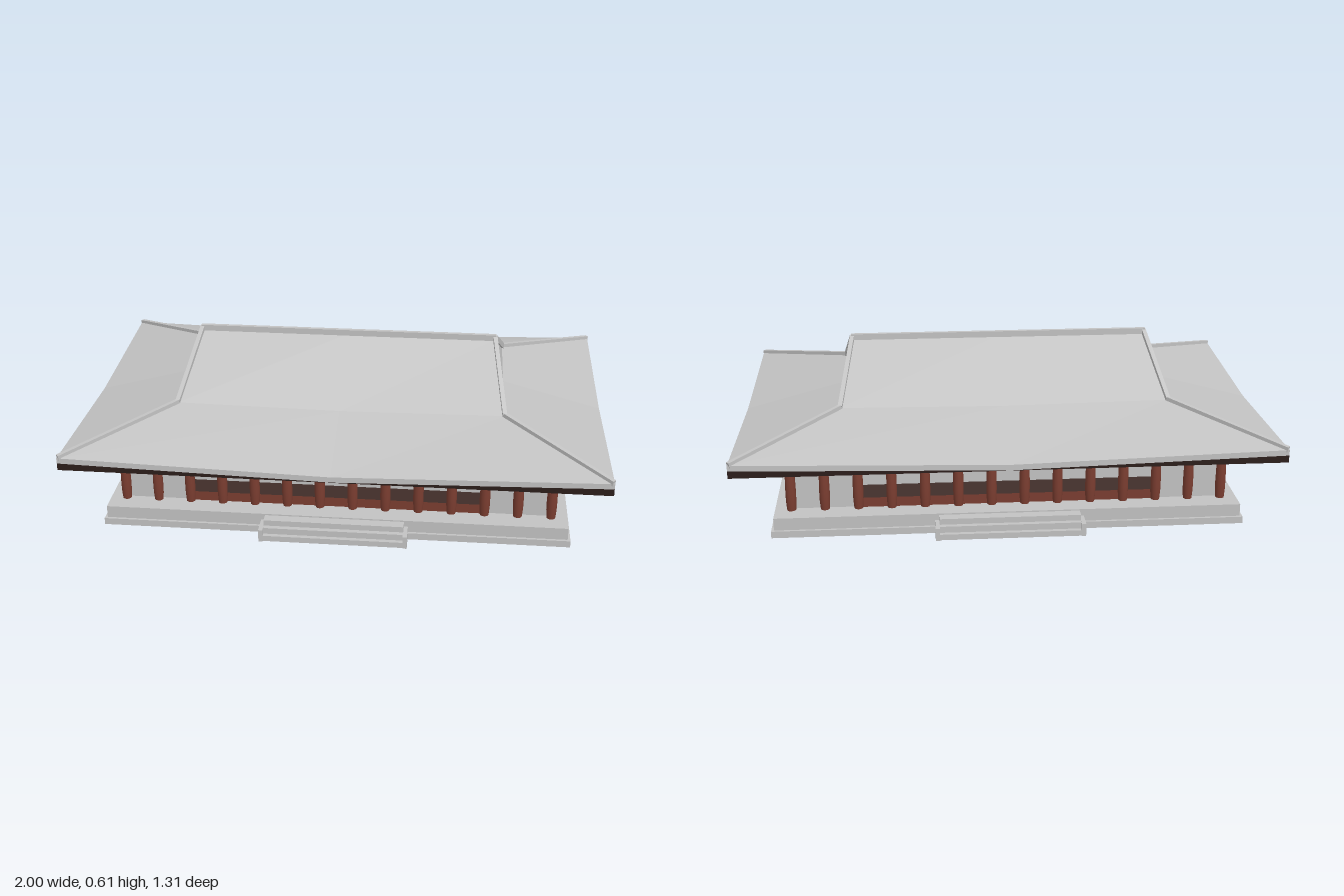
import * as THREE from 'three';

const stone = new THREE.MeshStandardMaterial({ color: 0xc2c2c2 });
stone.name = 'pale grey stone';
const redWood = new THREE.MeshStandardMaterial({ color: 0x7a3d30 });
redWood.name = 'red brown wood';
const darkWood = new THREE.MeshStandardMaterial({ color: 0x4a3530 });
darkWood.name = 'dark brown wood';
const eaveDark = new THREE.MeshStandardMaterial({ color: 0x2b1d1a });
eaveDark.name = 'dark eaves';

function add(parent, name, geometry, material) {
  const mesh = new THREE.Mesh(geometry, material);
  mesh.name = name;
  parent.add(mesh);
  return mesh;
}

// Box given by its lower and upper limits
function block(parent, name, material, [x0, x1], [y0, y1], [z0, z1]) {
  const mesh = add(parent, name, new THREE.BoxGeometry(x1 - x0, y1 - y0, z1 - z0), material);
  mesh.position.set((x0 + x1) / 2, (y0 + y1) / 2, (z0 + z1) / 2);
  return mesh;
}

// Rectangular ring of eight points: corners at one height, edge middles at another
function ring(x, z, yCorner, yMid) {
  return [[-x, z], [0, z], [x, z], [x, 0], [x, -z], [0, -z], [-x, -z], [-x, 0]]
    .map(([px, pz], i) => new THREE.Vector3(px, i % 2 ? yMid : yCorner, pz));
}

// Flat-faced skin between successive rings
function loft(rings) {
  const points = [];
  const triangle = (a, b, c) => {
    if (new THREE.Triangle(a, b, c).getArea() > 1e-7) points.push(a, b, c);
  };
  for (let r = 0; r < rings.length - 1; r++) {
    const lower = rings[r], upper = rings[r + 1];
    for (let i = 0; i < 8; i++) {
      const j = (i + 1) % 8;
      triangle(lower[i], lower[j], upper[j]);
      triangle(lower[i], upper[j], upper[i]);
    }
  }
  const geometry = new THREE.BufferGeometry().setFromPoints(points);
  geometry.computeVertexNormals();
  return geometry;
}

// Square bar running between two points
function bar(parent, name, from, to, width, height) {
  const a = new THREE.Vector3(...from), b = new THREE.Vector3(...to);
  const mesh = add(parent, name, new THREE.BoxGeometry(width, height, a.distanceTo(b) + 0.006), stone);
  mesh.position.copy(a).add(b).multiplyScalar(0.5);
  mesh.lookAt(b);
}

function buildTerrace() {
  const group = new THREE.Group();
  group.name = 'terrace';
  block(group, 'lowerTier', stone, [-0.873, 0.873], [0, 0.026], [-0.546, 0.546]);
  block(group, 'upperTier', stone, [-0.863, 0.863], [0.026, 0.073], [-0.536, 0.536]);

  // Stairs on the front and back
  for (const turn of [0, Math.PI]) {
    const stairs = new THREE.Group();
    stairs.name = 'stairs';
    stairs.rotation.y = turn;
    [[0.022, 0.608], [0.046, 0.592], [0.068, 0.574]].forEach(([top, front]) =>
      block(stairs, 'step', stone, [-0.26, 0.26], [0, top], [0.53, front]));
    for (const s of [-1, 1]) {
      block(stairs, 'stairCheek', stone, [s * 0.267 - 0.008, s * 0.267 + 0.008], [0, 0.048], [0.53, 0.612]);
    }
    group.add(stairs);
  }
  return group;
}

function buildHall() {
  const group = new THREE.Group();
  group.name = 'hall';
  block(group, 'walls', stone, [-0.79, 0.79], [0.073, 0.265], [-0.45, 0.45]);

  // Timber panels across the middle bays, front and back
  for (const s of [-1, 1]) {
    const z = s * 0.452;
    const depth = [z - 0.004, z + 0.004];
    block(group, 'lowerPanel', redWood, [-0.555, 0.555], [0.073, 0.11], depth);
    block(group, 'middlePanel', darkWood, [-0.555, 0.555], [0.11, 0.162], depth);
    block(group, 'upperPanel', stone, [-0.555, 0.555], [0.162, 0.245], depth);
  }
  return group;
}

function buildColumns() {
  const group = new THREE.Group();
  group.name = 'colonnade';
  const profile = [[0.0165, 0.073], [0.019, 0.105], [0.0195, 0.14], [0.0185, 0.2], [0.015, 0.25], [0.0125, 0.272]]
    .map(([r, y]) => new THREE.Vector2(r, y));
  const shaft = new THREE.LatheGeometry(profile, 12);
  const capital = new THREE.CylinderGeometry(0.021, 0.018, 0.014, 12);

  const columnsX = 14, columnsZ = 6;
  for (let i = 0; i < columnsX; i++) {
    for (let k = 0; k < columnsZ; k++) {
      if (i % (columnsX - 1) && k % (columnsZ - 1)) continue;
      const column = new THREE.Group();
      column.name = 'column';
      add(column, 'shaft', shaft, redWood);
      add(column, 'capital', capital, redWood).position.y = 0.279;
      column.position.set(-0.802 + (1.604 * i) / (columnsX - 1), 0, -0.46 + (0.92 * k) / (columnsZ - 1));
      group.add(column);
    }
  }
  return group;
}

function buildRoof() {
  const group = new THREE.Group();
  group.name = 'roof';
  const eaveBottom = ring(0.997, 0.65, 0.312, 0.286);

  // Dark underside with wedges rising to the corners
  add(group, 'eaveUnderside', loft([ring(0, 0, 0.285, 0.285), ring(0.997, 0.65, 0.285, 0.285), eaveBottom]), eaveDark);

  // Fascia, lower slope, then upper slope closing on the ridge line
  const ridgeLine = ring(0.575, 0, 0.587, 0.587);
  add(group, 'roofSlopes', loft([
    eaveBottom,
    ring(0.997, 0.65, 0.333, 0.307),
    ring(0.615, 0.325, 0.418, 0.41),
    ridgeLine,
  ]), stone);

  // Main ridge and the bent ridges down to the corners
  block(group, 'mainRidge', stone, [-0.58, 0.58], [0.58, 0.606], [-0.008, 0.008]);
  for (const sx of [-1, 1]) {
    for (const sz of [-1, 1]) {
      const bend = [sx * 0.615, 0.421, sz * 0.325];
      bar(group, 'gableRidge', [sx * 0.575, 0.592, 0], bend, 0.016, 0.022);
      bar(group, 'hipRidge', bend, [sx * 0.991, 0.335, sz * 0.645], 0.016, 0.02);
    }
  }
  return group;
}

export function createModel() {
  const model = new THREE.Group();
  model.name = 'pavilion';
  model.add(buildTerrace(), buildHall(), buildColumns(), buildRoof());
  return model;
}
